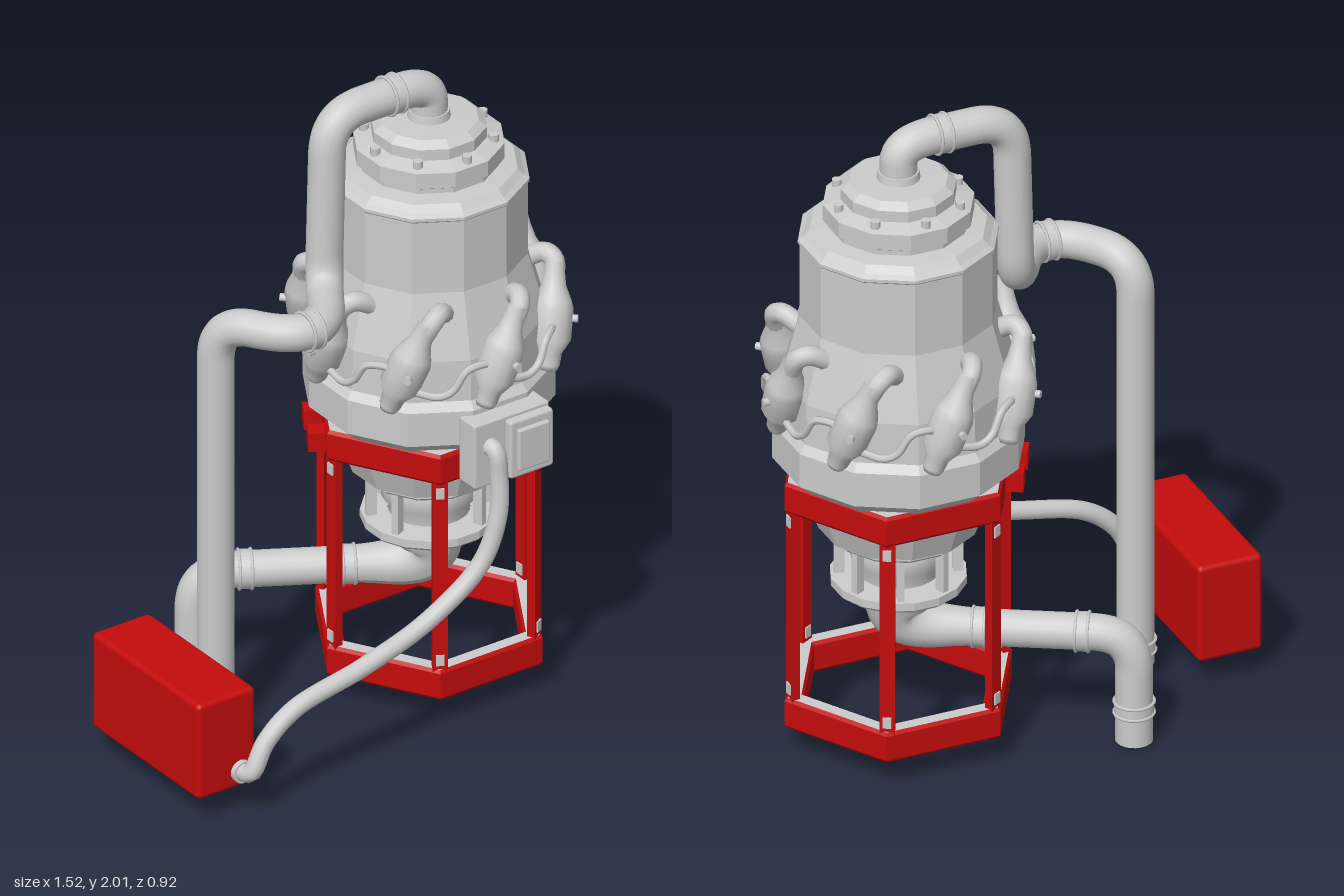
import * as THREE from 'three';
import { RoundedBoxGeometry } from 'three/addons/geometries/RoundedBoxGeometry.js';

const CX = 0.333, CZ = -0.03; // vertical axis of the machine
const V = (p) => new THREE.Vector3(...p);

export function createModel() {
  const root = new THREE.Group();
  const grey = new THREE.MeshStandardMaterial({ color: 0xcccccc });
  const facet = new THREE.MeshStandardMaterial({ color: 0xcccccc, flatShading: true });
  const red = new THREE.MeshStandardMaterial({ color: 0xc40c0c });

  const add = (parent, name, geo, mat, pos = [0, 0, 0], rotY = 0) => {
    const m = new THREE.Mesh(geo, mat);
    m.name = name;
    m.position.set(...pos);
    m.rotation.y = rotY;
    parent.add(m);
    return m;
  };
  const box = (w, h, d) => new THREE.BoxGeometry(w, h, d);
  const cyl = (a, b, h, n = 16) => new THREE.CylinderGeometry(a, b, h, n);

  // Profile points run bottom to top; flats face the main axes
  const lathe = (pts, n = 12) =>
    new THREE.LatheGeometry(pts.map(([r, y]) => new THREE.Vector2(r, y)), n, Math.PI / n);

  // Straight runs joined by rounded corners
  const bentPath = (pts, bend) => {
    const path = new THREE.CurvePath();
    const p = pts.map(V);
    let from = p[0];
    for (let i = 1; i < p.length - 1; i++) {
      const reach = (q) => p[i].clone().add(
        q.clone().sub(p[i]).setLength(Math.min(bend, q.distanceTo(p[i]) * 0.49)));
      const a = reach(p[i - 1]), b = reach(p[i + 1]);
      path.add(new THREE.LineCurve3(from, a));
      path.add(new THREE.QuadraticBezierCurve3(a, p[i], b));
      from = b;
    }
    path.add(new THREE.LineCurve3(from, p[p.length - 1]));
    return path;
  };

  // Coupling on a pipe: a sleeve with a rim at each end
  const coupling = (at, dir, r) => {
    const g = new THREE.Group();
    g.name = 'pipeCoupling';
    add(g, 'sleeve', cyl(r * 1.07, r * 1.07, 0.04, 20), grey);
    for (const s of [-1, 1]) {
      const rim = add(g, 'rim', new THREE.TorusGeometry(r * 1.07, 0.005, 6, 20), grey, [0, s * 0.018, 0]);
      rim.rotation.x = Math.PI / 2;
    }
    g.position.set(...at);
    g.quaternion.setFromUnitVectors(new THREE.Vector3(0, 1, 0), V(dir).normalize());
    root.add(g);
  };
  const cap = (at, r) => add(root, 'pipeEnd', cyl(r, r, 0.01, 20), grey, at);

  // Central machine, built around its own axis
  const core = new THREE.Group();
  core.name = 'machine';
  core.position.set(CX, 0, CZ);
  root.add(core);

  add(core, 'body', lathe([
    [0, 0.895], [0.325, 0.895], [0.37, 0.935], [0.37, 1.045], [0.35, 1.07], [0.345, 1.2],
    [0.29, 1.4], [0.29, 1.65], [0.26, 1.68], [0.205, 1.685], [0.205, 1.70], [0.222, 1.71],
    [0.222, 1.76], [0.17, 1.775], [0.17, 1.81], [0.145, 1.83], [0, 1.835],
  ]), facet);
  add(core, 'bodySeam', lathe([[0.29, 1.635], [0.295, 1.64], [0.295, 1.65], [0.28, 1.66]]), facet);
  for (let i = 0; i < 8; i++) {
    const a = i * Math.PI / 4;
    add(core, 'flangeBolt', cyl(0.015, 0.015, 0.03, 8), grey, [0.19 * Math.sin(a), 1.773, 0.19 * Math.cos(a)]);
  }

  // Stepped funnel and caged neck under the body
  add(core, 'funnel', lathe([
    [0, 0.655], [0.19, 0.655], [0.2, 0.665], [0.2, 0.69], [0.235, 0.69],
    [0.265, 0.77], [0.275, 0.775], [0.275, 0.79], [0.24, 0.8], [0.24, 0.9],
  ]), facet);
  add(core, 'neck', lathe([[0.12, 0.5], [0.12, 0.56], [0.14, 0.58], [0.14, 0.63], [0.12, 0.66]], 20), grey);
  add(core, 'neckFlange', lathe([[0, 0.49], [0.19, 0.49], [0.2, 0.5], [0.2, 0.525], [0.12, 0.53]], 16), facet);
  for (let i = 0; i < 8; i++) {
    const a = i * Math.PI / 4 + Math.PI / 8;
    add(core, 'neckStrut', box(0.022, 0.15, 0.03), grey, [0.172 * Math.sin(a), 0.59, 0.172 * Math.cos(a)], a);
  }

  // Eight tilted canisters, each with an elbow above and a link tube to the next
  const canister = lathe([
    [0, -0.165], [0.025, -0.16], [0.032, -0.145], [0.036, -0.11], [0.06, -0.07], [0.062, 0.02],
    [0.055, 0.045], [0.036, 0.09], [0.03, 0.13], [0.028, 0.16],
  ], 14);
  const elbow = new THREE.TubeGeometry(new THREE.CatmullRomCurve3([
    [0.045, 1.3, 0.36], [0.07, 1.345, 0.355], [0.085, 1.36, 0.325], [0.09, 1.34, 0.28], [0.09, 1.32, 0.25],
  ].map(V)), 14, 0.03, 10);
  const around = (deg, r, y) => [r * Math.sin(deg * Math.PI / 180), y, r * Math.cos(deg * Math.PI / 180)];
  const link = new THREE.TubeGeometry(new THREE.CatmullRomCurve3([
    around(3, 0.37, 1.12), around(14, 0.38, 1.11), around(20, 0.385, 1.13),
    around(26, 0.385, 1.19), around(33, 0.38, 1.2), around(43, 0.37, 1.18),
  ].map(V)), 20, 0.012, 6);
  for (let i = 0; i < 8; i++) {
    const g = new THREE.Group();
    g.name = 'canisterUnit';
    g.rotation.y = i * Math.PI / 4;
    const c = add(g, 'canister', canister, grey, [0, 1.2, 0.36]);
    c.rotation.z = -0.38;
    add(g, 'canisterElbow', elbow, grey);
    add(g, 'linkTube', link, grey);
    const knob = add(g, 'canisterKnob', cyl(0.012, 0.012, 0.02, 8), grey, [0.01, 1.19, 0.425]);
    knob.rotation.x = Math.PI / 2;
    core.add(g);
  }

  // Hexagonal stand: two rings with grey caps and red walls, joined by posts
  const hex = (Type, r) => new Type(Array.from({ length: 6 }, (_, i) =>
    new THREE.Vector2(r * Math.cos(i * Math.PI / 3), r * Math.sin(i * Math.PI / 3))));
  const ringShape = hex(THREE.Shape, 0.352);
  ringShape.holes.push(hex(THREE.Path, 0.308));
  const ring = new THREE.ExtrudeGeometry(ringShape, {
    depth: 0.08, bevelThickness: 0.01, bevelSize: 0.008, bevelSegments: 1,
  });
  ring.rotateX(-Math.PI / 2);
  for (const y of [0.095, 0.81]) add(core, 'standRing', ring, [grey, red], [0, y, 0]);
  for (let i = 0; i < 6; i++) {
    const g = new THREE.Group();
    g.name = 'standPost';
    g.rotation.y = i * Math.PI / 3;
    add(g, 'post', box(0.025, 0.66, 0.045), red, [0.335, 0.49, 0]);
    for (const y of [0.215, 0.77]) add(g, 'postClip', box(0.034, 0.035, 0.025), grey, [0.335, y, 0]);
    core.add(g);
  }
  // Two small blocks on the rear face of the stand
  for (const t of [0, 0.13]) {
    const a = -Math.PI * 2 / 3; // outward direction, measured from +z
    add(core, 'standBlock', box(0.06, 0.06, 0.06), red,
      [0.335 * Math.sin(a) - 0.5 * t, 0.85, 0.335 * Math.cos(a) + 0.866 * t], a);
  }

  // Overhead pipe from the cap down to the ground
  const R = 0.055;
  add(root, 'overheadPipe', new THREE.TubeGeometry(bentPath([
    [CX, 1.82, CZ], [CX, 1.945, CZ], [-0.025, 1.945, CZ], [-0.04, 1.39, CZ],
    [-0.16, 1.39, 0.16], [-0.29, 1.39, 0.16], [-0.415, 1.39, -0.04], [-0.415, 0.05, -0.04],
  ], 0.12), 220, R, 18), grey);
  add(root, 'capSocket', cyl(0.06, 0.065, 0.03, 20), grey, [CX, 1.84, CZ]);
  coupling([0.2, 1.945, CZ], [1, 0, 0], R);
  coupling([-0.225, 1.39, 0.16], [1, 0, 0], R);
  coupling([-0.415, 0.11, -0.04], [0, 1, 0], R);
  cap([-0.415, 0.055, -0.04], R);

  // Outlet: tapering elbow below the neck, then a run to the rear corner
  const elbowPath = bentPath([[CX, 0.5, CZ], [CX, 0.35, CZ], [0.1, 0.35, -0.165]], 0.14);
  const outlet = new THREE.TubeGeometry(elbowPath, 24, 1, 18);
  const pos = outlet.attributes.position, v = new THREE.Vector3();
  for (let i = 0; i < pos.count; i++) {
    const t = Math.floor(i / 19) / 24;
    const c = elbowPath.getPointAt(t);
    const r = R + 0.07 * Math.pow(1 - t, 2);
    v.fromBufferAttribute(pos, i).sub(c).multiplyScalar(r).add(c);
    pos.setXYZ(i, v.x, v.y, v.z);
  }
  outlet.computeVertexNormals();
  add(root, 'outletElbow', outlet, grey);
  add(root, 'outletPipe', new THREE.TubeGeometry(bentPath([
    [0.11, 0.35, -0.159], [-0.26, 0.35, -0.37], [-0.26, 0, -0.37],
  ], 0.12), 60, R, 18), grey);
  coupling([0.13, 0.35, -0.147], [0.866, 0, 0.5], R);
  coupling([-0.13, 0.35, -0.296], [0.866, 0, 0.5], R);
  coupling([-0.26, 0.11, -0.37], [0, 1, 0], R);
  cap([-0.26, 0.005, -0.37], R);

  // Control box on the front of the body
  add(root, 'controlBoxBase', new RoundedBoxGeometry(0.265, 0.21, 0.08, 1, 0.006), grey, [0.333, 0.925, 0.345]);
  add(root, 'controlBoxDoor', new RoundedBoxGeometry(0.155, 0.19, 0.035, 1, 0.01), grey, [0.385, 0.925, 0.395]);
  add(root, 'controlBoxPanel', new RoundedBoxGeometry(0.11, 0.135, 0.03, 1, 0.006), grey, [0.385, 0.925, 0.412]);

  // Red supply box and the hose that feeds the control box
  add(root, 'supplyBox', new RoundedBoxGeometry(0.205, 0.315, 0.535, 2, 0.016), red, [-0.652, 0.2425, 0.083]);
  add(root, 'hose', new THREE.TubeGeometry(new THREE.CatmullRomCurve3([
    [0.255, 0.95, 0.37], [0.26, 0.94, 0.405], [0.265, 0.86, 0.415], [0.255, 0.74, 0.425], [0.2, 0.59, 0.415],
    [0.03, 0.45, 0.395], [-0.2, 0.375, 0.4], [-0.45, 0.315, 0.4], [-0.55, 0.24, 0.4],
    [-0.6, 0.15, 0.395], [-0.605, 0.14, 0.34],
  ].map(V)), 90, 0.028, 12), grey);
  const socket = add(root, 'hoseSocket', cyl(0.035, 0.035, 0.025, 14), grey, [-0.605, 0.14, 0.355]);
  socket.rotation.x = Math.PI / 2;

  return root;
}
